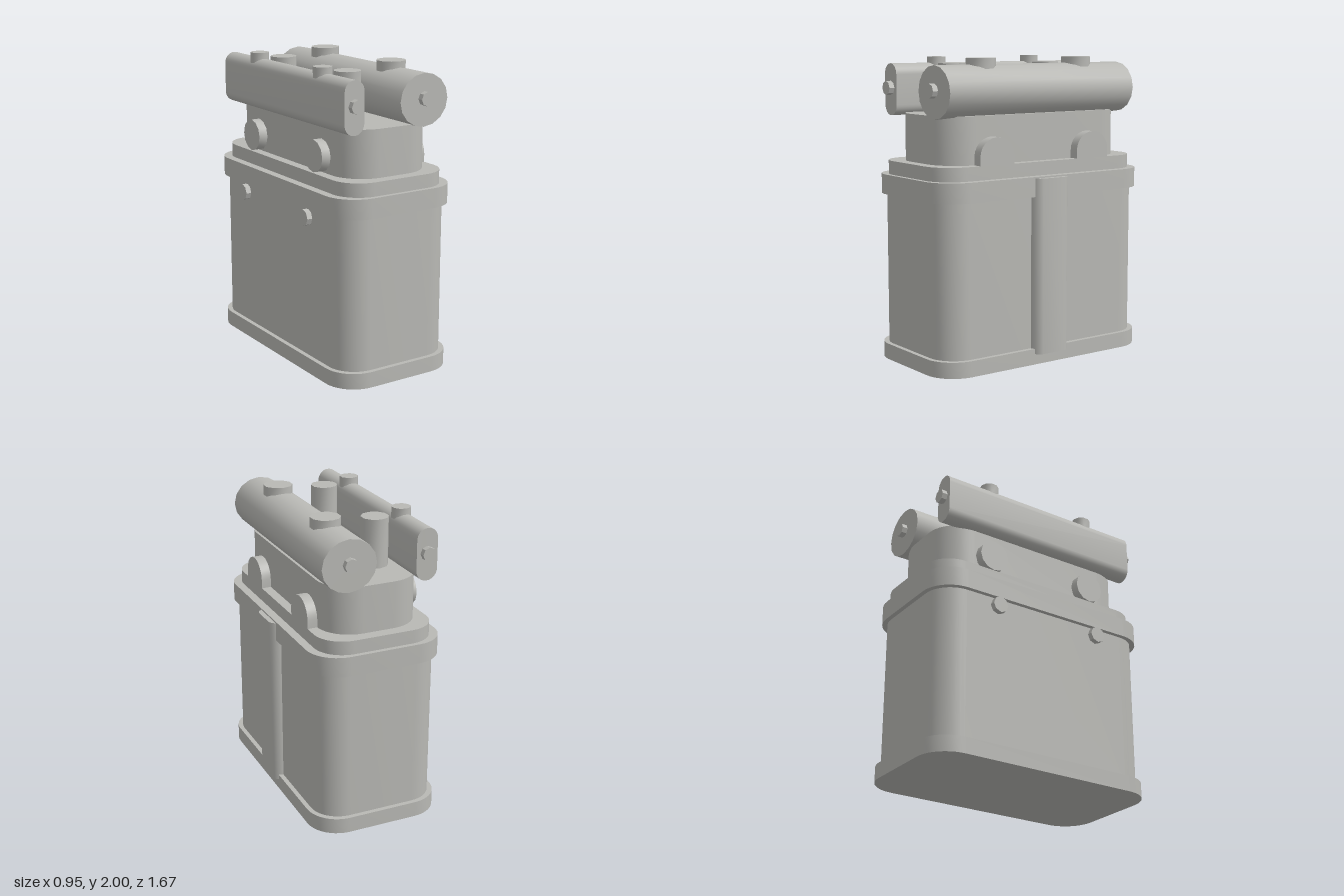
import * as THREE from 'three';
import { toCreasedNormals } from 'three/addons/utils/BufferGeometryUtils.js';

export function createModel() {
  const model = new THREE.Group();
  model.name = 'boxedDevice';
  const grey = new THREE.MeshStandardMaterial({ color: 0xb8b8b4 });
  grey.name = 'plain grey';

  function add(name, geometry, x = 0, y = 0, z = 0) {
    const mesh = new THREE.Mesh(toCreasedNormals(geometry, 0.7), grey);
    mesh.name = name;
    mesh.position.set(x, y, z);
    model.add(mesh);
    return mesh;
  }

  // rectangle with rounded corners, centred on the origin
  function roundedRect(hw, hh, r) {
    const s = new THREE.Shape();
    s.moveTo(hw, -hh + r);
    s.absarc(hw - r, hh - r, r, 0, Math.PI / 2);
    s.absarc(-hw + r, hh - r, r, Math.PI / 2, Math.PI);
    s.absarc(-hw + r, -hh + r, r, Math.PI, Math.PI * 1.5);
    s.absarc(hw - r, -hh + r, r, Math.PI * 1.5, Math.PI * 2);
    return s;
  }

  const extrude = (shape, depth, curveSegments = 5) =>
    new THREE.ExtrudeGeometry(shape, { depth, curveSegments, bevelEnabled: false });

  // upright slab with rounded corners
  function slab(name, hw, hz, r, y0, y1) {
    add(name, extrude(roundedRect(hw, hz, r), y1 - y0).rotateX(-Math.PI / 2), -0.01, y0, 0);
  }

  // disc whose axis lies along x, y or z
  function disc(name, axis, r, h, sides, x, y, z) {
    const g = new THREE.CylinderGeometry(r, r, h, sides);
    if (axis === 'x') g.rotateZ(Math.PI / 2);
    if (axis === 'z') g.rotateX(Math.PI / 2);
    return add(name, g, x, y, z);
  }

  // stacked casing
  slab('base', 0.447, 0.837, 0.21, 0, 0.105);
  slab('body', 0.416, 0.806, 0.19, 0.1, 1.115);
  slab('collar', 0.447, 0.837, 0.21, 1.11, 1.24);
  slab('lid', 0.39, 0.807, 0.19, 1.235, 1.33);
  slab('head', 0.325, 0.728, 0.22, 1.325, 1.64);

  // raised strip on the left side
  const strip = new THREE.Shape([
    [0.38, -0.141], [0.415, -0.141], [0.44, -0.13], [0.46, -0.112], [0.471, -0.09],
    [0.471, 0.09], [0.46, 0.112], [0.44, 0.13], [0.415, 0.141], [0.38, 0.141],
  ].map(([x, z]) => new THREE.Vector2(x, z)));
  add('sideStrip', extrude(strip, 1.16).rotateX(-Math.PI / 2), 0, 0.07, 0);

  // large round tube and narrow flat tube along the top
  disc('largeTube', 'z', 0.183, 1.49, 16, 0.199, 1.79, 0).scale.y = 0.93;
  add('narrowTube', extrude(roundedRect(0.072, 0.17, 0.071), 1.49, 4), -0.326, 1.79, -0.745);

  // arch-shaped lug profile
  const arch = new THREE.Shape();
  arch.moveTo(0.132, 0);
  arch.lineTo(0.132, 0.055);
  arch.absellipse(0, 0.055, 0.132, 0.122, 0, Math.PI, false, 0);
  arch.lineTo(-0.132, 0);

  for (const s of [1, -1]) {
    const z = 0.39 * s;
    // fittings on top
    disc('largeTubeCap', 'y', 0.098, 0.08, 10, 0.199, 1.96, z);
    disc('narrowTubeCap', 'y', 0.063, 0.08, 10, -0.325, 1.96, z);
    disc('post', 'y', 0.09, 0.34, 10, -0.139, 1.79, z);
    // bolts on the tube ends
    disc('largeTubeBolt', 'z', 0.046, 0.047, 8, 0.199, 1.8, 0.759 * s);
    disc('narrowTubeBolt', 'z', 0.046, 0.047, 8, -0.325, 1.8, 0.759 * s);
    // side fittings
    disc('sideDisc', 'x', 0.106, 0.08, 12, -0.357, 1.44, z);
    disc('bodyBolt', 'x', 0.055, 0.037, 8, -0.458, 1.05, z);
    add('archLug', extrude(arch, 0.08, 6).rotateY(Math.PI / 2), 0.3, 1.33, z);
  }
  return model;
}
